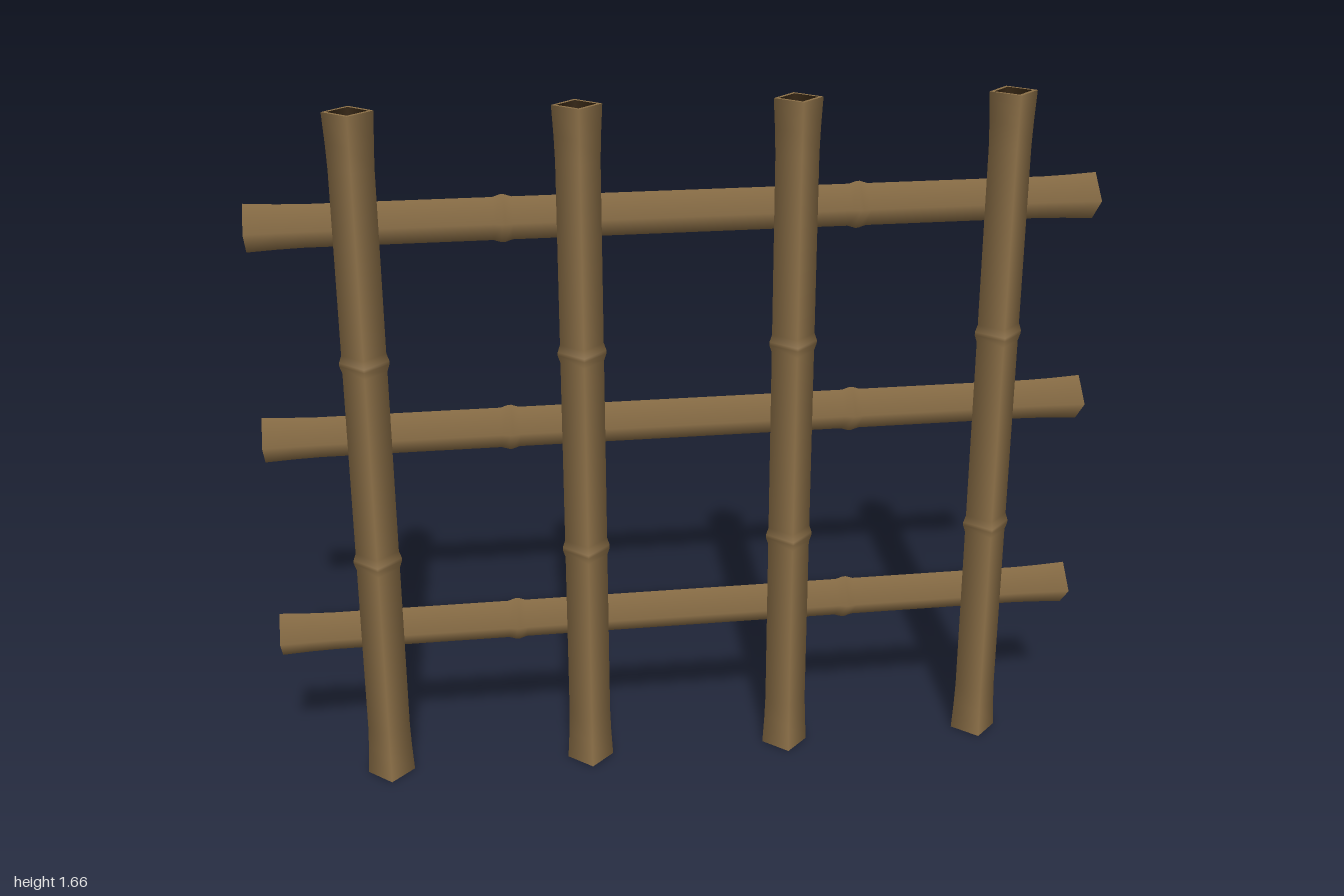
import * as THREE from 'three';

const bamboo = new THREE.MeshStandardMaterial({ color: 0x8b6f47 });
bamboo.name = 'bamboo brown';
const hollow = new THREE.MeshStandardMaterial({ color: 0x33230f });
hollow.name = 'dark hollow';

const SIDES = 4, R = 0.051, FLARE = 0.057, INNER = 0.045, DEPTH = 0.02;

const lathe = (pts, mat, name) => {
  const mesh = new THREE.Mesh(
    new THREE.LatheGeometry(pts.map(([r, y]) => new THREE.Vector2(r, y)), SIDES), mat);
  mesh.name = name;
  return mesh;
};

// Cut end of a cane: brown rim around a shallow dark recess
function caneEnd(h) {
  const end = new THREE.Group();
  end.name = 'caneEnd';
  end.add(
    lathe([[FLARE, h], [INNER, h]], bamboo, 'rim'),
    lathe([[INNER, h], [INNER, h - DEPTH]], hollow, 'innerWall'),
    lathe([[INNER, h - DEPTH], [0, h - DEPTH]], hollow, 'innerFloor'));
  return end;
}

// Cane along y, centred on its middle, with two swollen joints
function cane(name, length, joint) {
  const h = length / 2;
  const g = new THREE.Group();
  g.name = name;
  const half = [[R, joint - 0.022], [0.057, joint - 0.004], [0.057, joint + 0.004],
    [R, joint + 0.022], [R, h - 0.13], [0.053, h - 0.07], [FLARE, h]];
  const lower = half.map(([r, y]) => [r, -y]).reverse();
  g.add(lathe([...lower, ...half], bamboo, 'caneWall'));
  const bottom = caneEnd(h);
  bottom.rotation.x = Math.PI;
  g.add(caneEnd(h), bottom);
  return g;
}

export function createModel() {
  const model = new THREE.Group();
  model.name = 'bambooTrellis';

  // Uprights in front
  for (const x of [-0.75, -0.25, 0.25, 0.75]) {
    const post = cane('upright', 1.664, 0.25);
    post.position.set(x, 0.832, 0.05);
    model.add(post);
  }

  // Crossbars behind
  for (const y of [0.35, 0.867, 1.384]) {
    const bar = cane('crossbar', 2, 0.418);
    bar.rotation.z = Math.PI / 2;
    bar.position.set(0, y, -0.05);
    model.add(bar);
  }
  return model;
}
